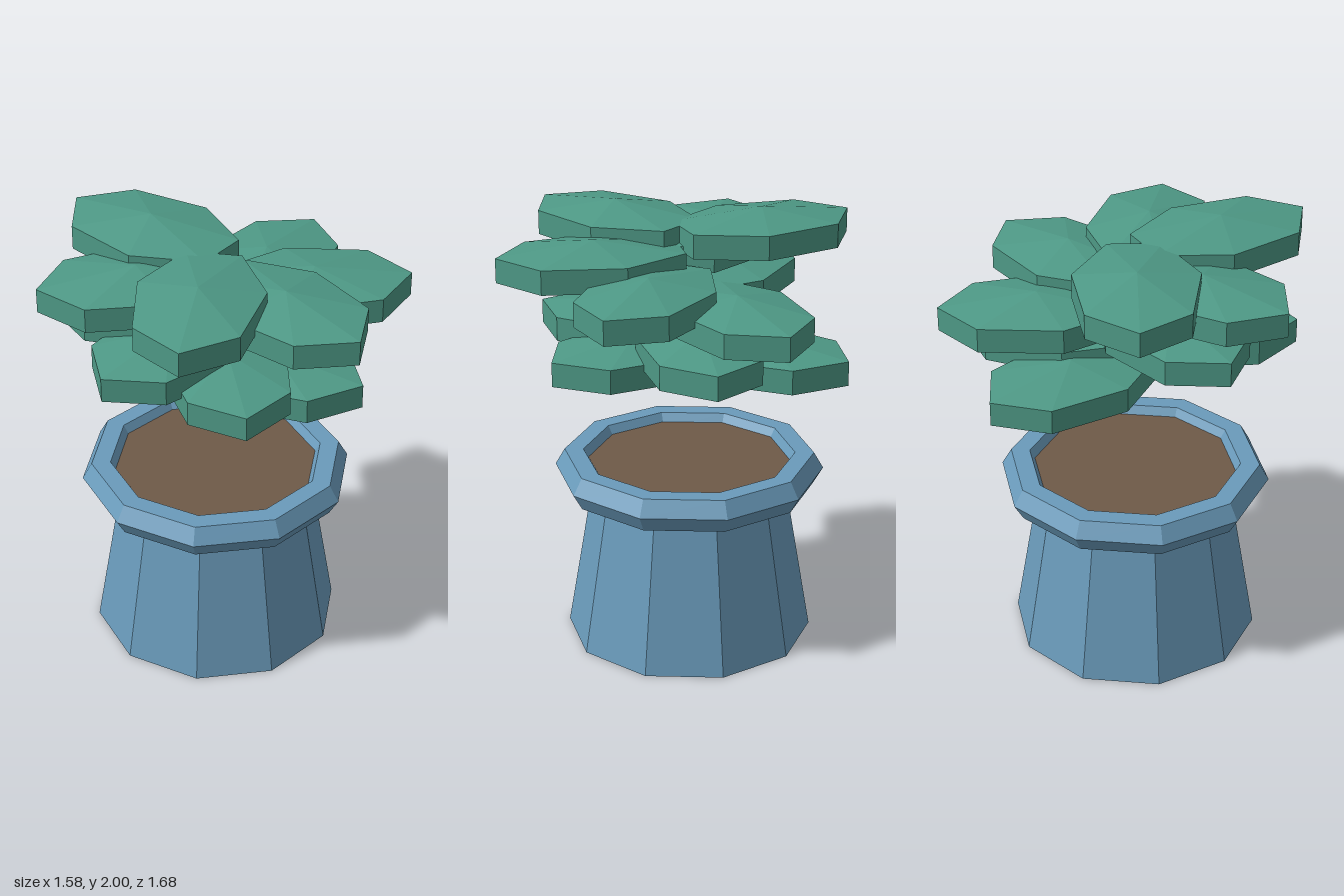
import * as THREE from 'three';

const flat = (name, color) => new THREE.MeshStandardMaterial({ name, color, flatShading: true });

function part(name, geometry, material, parent) {
  const mesh = new THREE.Mesh(geometry, material);
  mesh.name = name;
  parent.add(mesh);
  return mesh;
}

export function createModel() {
  const model = new THREE.Group();
  model.name = 'pottedPlant';
  const glaze = flat('blue glaze', 0x6a9bbb);
  const earth = flat('brown soil', 0x6f5a48);
  const leaf = flat('green leaf', 0x4e9986);

  // Everything grows around one axis, slightly off the origin
  const plant = new THREE.Group();
  plant.name = 'plant';
  plant.position.set(-0.02, 0, 0.02);
  model.add(plant);

  // Ten-sided tapered pot
  const SIDES = 10;
  const body = new THREE.CylinderGeometry(0.433, 0.57, 0.8, SIDES, 1, false, Math.PI / 2);
  part('potBody', body.translate(0, 0.4, 0), glaze, plant);

  // Rim with a six-sided section
  const rim = new THREE.TorusGeometry(0.531, 0.0866, 6, SIDES).rotateX(Math.PI / 2);
  part('potRim', rim, glaze, plant).position.y = 0.805;

  // Soil disc set into the rim
  const soil = new THREE.CylinderGeometry(0.465, 0.465, 0.04, SIDES, 1, false, Math.PI / 2);
  part('soil', soil, earth, plant).position.y = 0.82;

  // Leaves: seven-sided flattened pads, spiralling by the golden angle
  const pad = new THREE.SphereGeometry(1, 7, 3).scale(0.497, 0.11, 0.324);
  const foliage = new THREE.Group();
  foliage.name = 'foliage';
  plant.add(foliage);
  for (let i = 0; i < 12; i++) {
    const angle = THREE.MathUtils.degToRad(137.5 * i);
    const reach = 0.28 + 0.075 * (i % 3);
    const height = 1.4 + 0.0817 * ((5 * i) % 7);
    const mesh = part('leaf' + (i + 1), pad, leaf, foliage);
    mesh.position.set(reach * Math.cos(angle), height, reach * Math.sin(angle));
    mesh.rotation.y = Math.PI - angle; // tip points outwards
  }
  return model;
}
